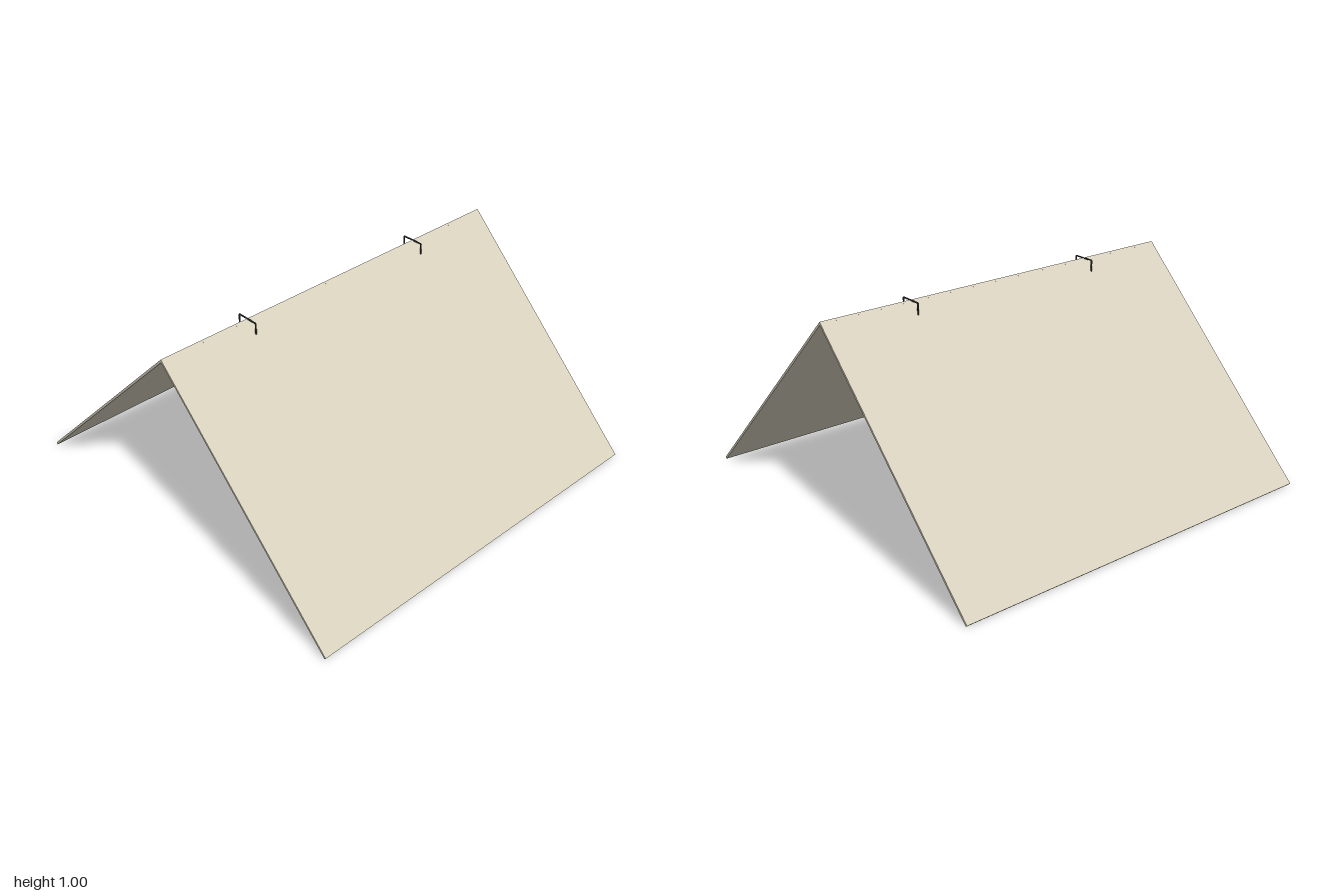
import * as THREE from 'three';

export function createModel() {
  const model = new THREE.Group();
  const panelMat = new THREE.MeshStandardMaterial({ color: 0xd6cfbc });
  const clipMat = new THREE.MeshStandardMaterial({ color: 0x3c3c3c });

  // Straight bar of rectangular section between two (z, y) points
  const bar = (a, b, x, width, thickness, material, name) => {
    const dz = b[0] - a[0], dy = b[1] - a[1];
    const mesh = new THREE.Mesh(new THREE.BoxGeometry(width, thickness, Math.hypot(dz, dy)), material);
    mesh.position.set(x, (a[1] + b[1]) / 2, (a[0] + b[0]) / 2);
    mesh.rotation.x = -Math.atan2(dy, dz);
    mesh.name = name;
    return mesh;
  };

  // Two thin sloping panels leaning together at the ridge
  for (const s of [1, -1]) {
    model.add(bar([-0.004 * s, 1], [0.996 * s, 0.004], 0, 1.98, 0.011,
      panelMat, s > 0 ? 'frontPanel' : 'backPanel'));
  }

  // Wire clips over the ridge, hooked under both panels
  const path = [[0.008, 0.977], [0.055, 0.932], [0.055, 1.002],
    [-0.055, 1.002], [-0.055, 0.932], [-0.008, 0.977]];
  for (const x of [-0.52, 0.52]) {
    const clip = new THREE.Group();
    clip.name = x > 0 ? 'leftClip' : 'rightClip';
    for (let i = 0; i < path.length - 1; i++) {
      clip.add(bar(path[i], path[i + 1], x, 0.006, 0.005, clipMat, 'clipWire'));
    }
    model.add(clip);
  }
  return model;
}
